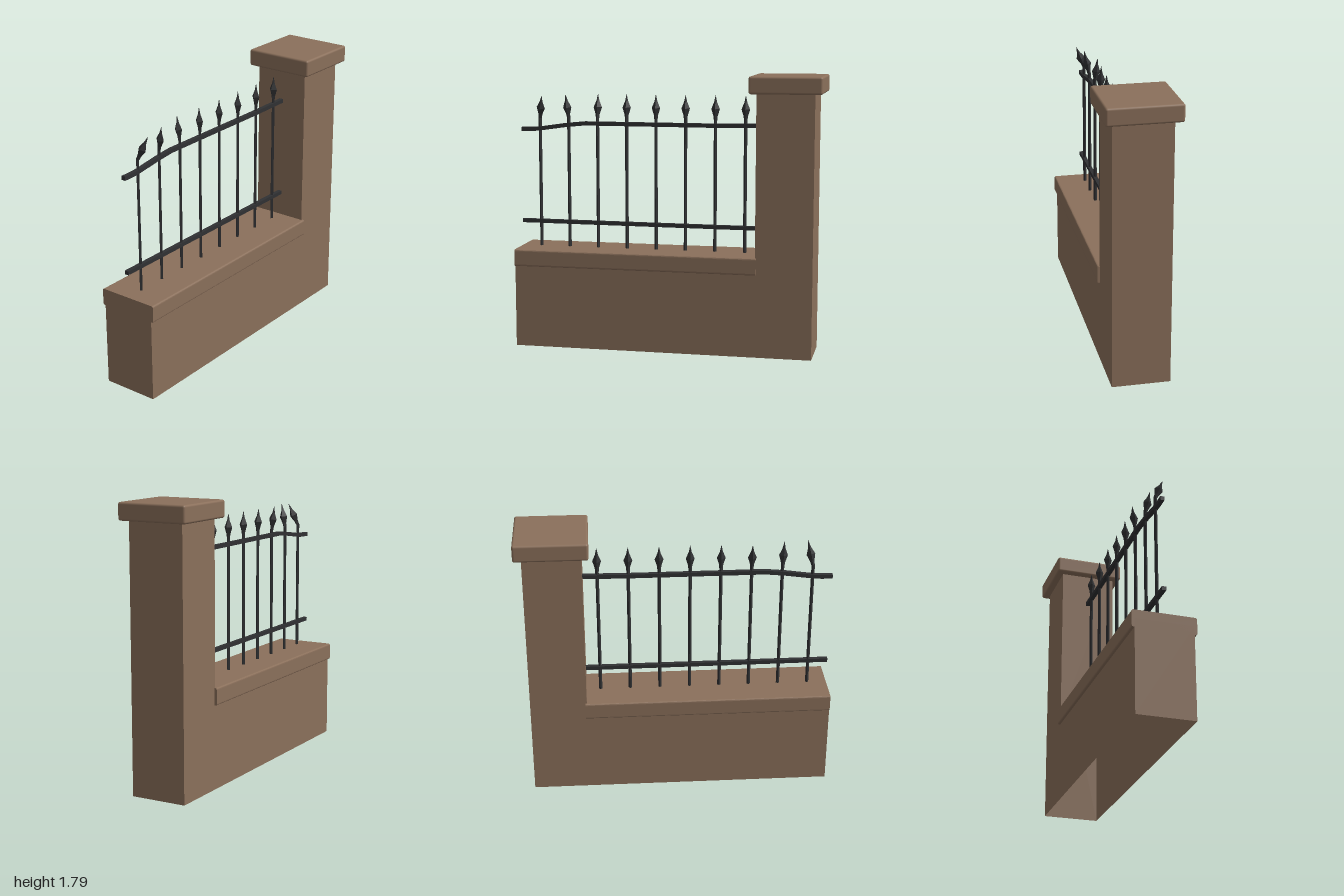
import * as THREE from 'three';
import { RoundedBoxGeometry } from 'three/addons/geometries/RoundedBoxGeometry.js';

const stone = new THREE.MeshStandardMaterial({ color: 0x8b705b, side: THREE.DoubleSide });
stone.name = 'brown stone';
const iron = new THREE.MeshStandardMaterial({ color: 0x303133 });
iron.name = 'dark iron';

function add(parent, name, geometry, material) {
  const mesh = new THREE.Mesh(geometry, material);
  mesh.name = name;
  parent.add(mesh);
  return mesh;
}

// Extrude a side profile of [z, y] points across the given width, centred on x = 0
function sideProfile(points, width) {
  const shape = new THREE.Shape(points.map(([z, y]) => new THREE.Vector2(z, y)));
  return new THREE.ExtrudeGeometry(shape, { depth: width, bevelEnabled: false })
    .translate(0, 0, -width / 2)
    .rotateY(-Math.PI / 2);
}

// Drop the triangles lying on the ground, leaving a hollow shell
function withoutBottom(geometry) {
  const pos = geometry.attributes.position;
  const kept = [];
  for (let i = 0; i < pos.count; i += 3) {
    if ([0, 1, 2].every((k) => pos.getY(i + k) < 1e-4)) continue;
    for (let k = 0; k < 3; k++) kept.push(pos.getX(i + k), pos.getY(i + k), pos.getZ(i + k));
  }
  const shell = new THREE.BufferGeometry();
  shell.setAttribute('position', new THREE.Float32BufferAttribute(kept, 3));
  shell.computeVertexNormals();
  return shell;
}

function flat(geometry) {
  const g = geometry.toNonIndexed();
  g.computeVertexNormals();
  return g;
}

// A rail of constant thickness following a [z, y] centre line
function railGeometry(line, thickness) {
  const h = thickness / 2;
  const lower = line.map(([z, y]) => [z, y - h]);
  const upper = line.map(([z, y]) => [z, y + h]).reverse();
  return sideProfile([...lower, ...upper], 0.027);
}

export function createModel() {
  const model = new THREE.Group();
  model.name = 'fenceWithPillar';

  // Low wall and pillar as one L-shaped shell, open underneath
  const body = [[-0.95, 0], [1, 0], [1, 0.59], [-0.585, 0.59], [-0.585, 1.69], [-0.95, 1.69]];
  add(model, 'wallAndPillar', withoutBottom(sideProfile(body, 0.366)), stone);

  // Pillar cap with softened edges
  add(model, 'pillarCap', new RoundedBoxGeometry(0.46, 0.11, 0.46, 3, 0.014), stone)
    .position.set(0, 1.735, -0.77);

  // Coping stone along the wall, rounded along its length
  const w = 0.2, y0 = 0.535, y1 = 0.645, r = 0.012;
  const section = new THREE.Shape();
  section.moveTo(-w + r, y0).lineTo(w - r, y0).quadraticCurveTo(w, y0, w, y0 + r);
  section.lineTo(w, y1 - r).quadraticCurveTo(w, y1, w - r, y1);
  section.lineTo(-w + r, y1).quadraticCurveTo(-w, y1, -w, y1 - r);
  section.lineTo(-w, y0 + r).quadraticCurveTo(-w, y0, -w + r, y0);
  const coping = new THREE.ExtrudeGeometry(section, { depth: 1.594, bevelEnabled: false, curveSegments: 4 });
  add(model, 'coping', coping, stone).position.z = -0.594;

  // Horizontal rails; the upper one sags towards the free end
  const fence = new THREE.Group();
  fence.name = 'ironFence';
  model.add(fence);
  add(fence, 'lowerRail', railGeometry([[-0.59, 0.806], [1, 0.81]], 0.025), iron);
  add(fence, 'upperRail', railGeometry(
    [[-0.59, 1.467], [-0.3, 1.463], [0.57, 1.463], [0.7, 1.45], [0.88, 1.424], [0.93, 1.421], [1, 1.42]], 0.026), iron);

  // Pickets with four-sided spear heads
  const rodGeometry = flat(new THREE.CylinderGeometry(0.011, 0.011, 0.87, 4));
  const spear = [[0, -0.01], [0.011, 0], [0.014, 0.03], [0.028, 0.075], [0.01, 0.118], [0, 0.165]];
  const spearGeometry = flat(new THREE.LatheGeometry(spear.map(([x, y]) => new THREE.Vector2(x, y)), 4));
  const up = new THREE.Vector3(0, 1, 0);
  // Direction in which the heads nearest the free end are bent, as [x, z] slopes
  const bends = [[0.4, -0.2], [0.2, 0.07], [-0.12, 0], [-0.03, 0]];
  for (let i = 0; i < 8; i++) {
    const picket = new THREE.Group();
    picket.name = 'picket' + (i + 1);
    picket.position.z = 0.873 - i * 0.195;
    fence.add(picket);
    add(picket, 'rod', rodGeometry, iron).position.y = 1.068;
    const head = add(picket, 'spearHead', spearGeometry, iron);
    head.position.y = 1.495;
    const [bx, bz] = bends[i] || [0, 0];
    head.quaternion.setFromUnitVectors(up, new THREE.Vector3(bx, 1, bz).normalize());
  }
  return model;
}
